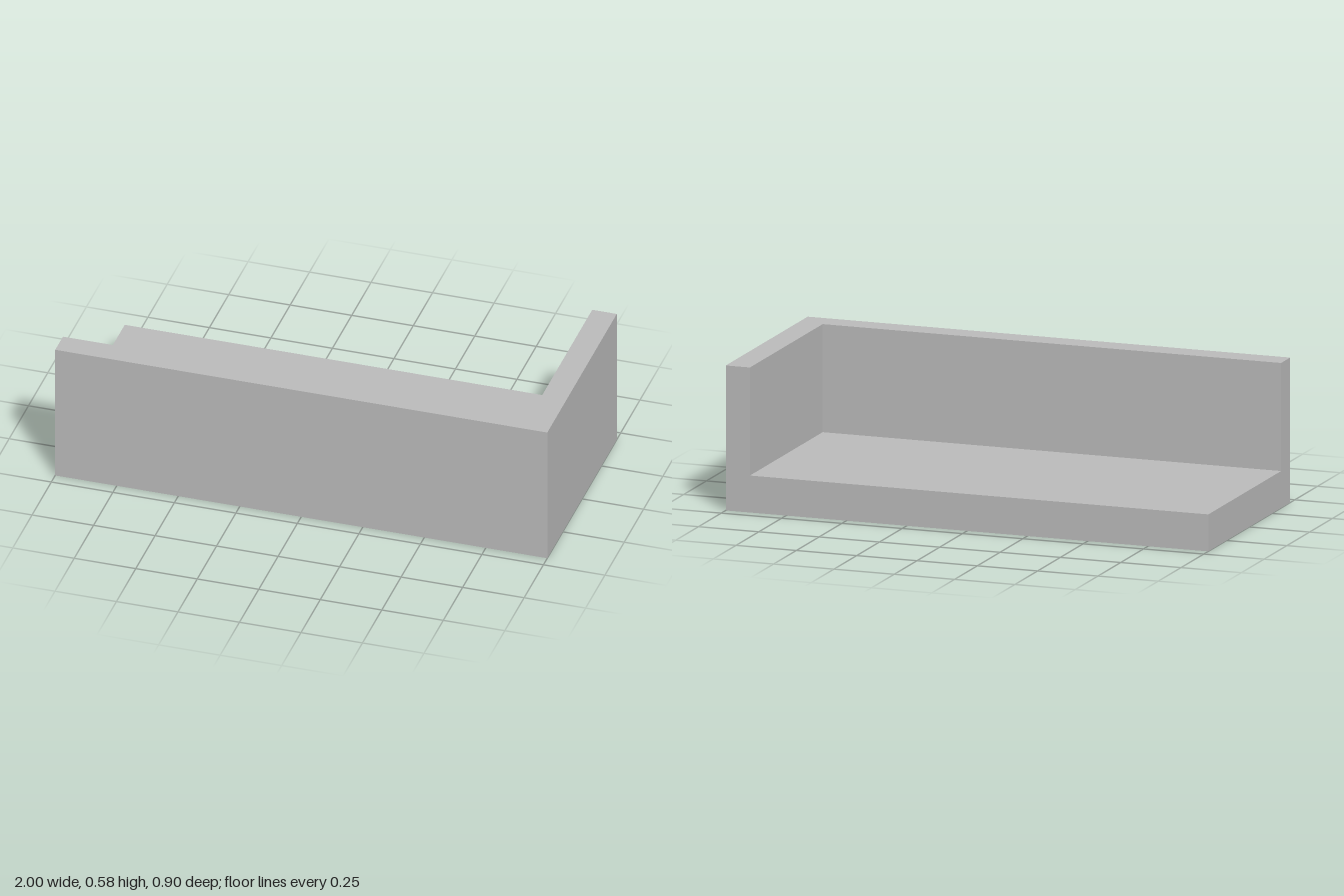
import * as THREE from 'three';

export function createModel() {
  const group = new THREE.Group();
  const grey = new THREE.MeshStandardMaterial({ color: 0xbcbcbc });
  grey.name = 'plainGrey';

  const width = 2, depth = 0.9, height = 0.577, floorHeight = 0.147, wall = 0.1;
  const x = width / 2, z = depth / 2;

  // Thick slab across the whole footprint
  const floor = new THREE.Mesh(new THREE.BoxGeometry(width, floorHeight, depth), grey);
  floor.name = 'floorSlab';
  floor.position.y = floorHeight / 2;
  group.add(floor);

  // L-shaped wall along the front and the +x end, drawn in plan (shape y = -z)
  const plan = new THREE.Shape([
    [-x, -z], [x, -z], [x, z], [x - wall, z], [x - wall, -z + wall], [-x, -z + wall],
  ].map(([px, py]) => new THREE.Vector2(px, py)));
  const wallGeometry = new THREE.ExtrudeGeometry(plan, {
    depth: height - floorHeight, bevelEnabled: false,
  });
  wallGeometry.rotateX(-Math.PI / 2);
  const cornerWall = new THREE.Mesh(wallGeometry, grey);
  cornerWall.name = 'cornerWall';
  cornerWall.position.y = floorHeight;
  group.add(cornerWall);

  return group;
}
